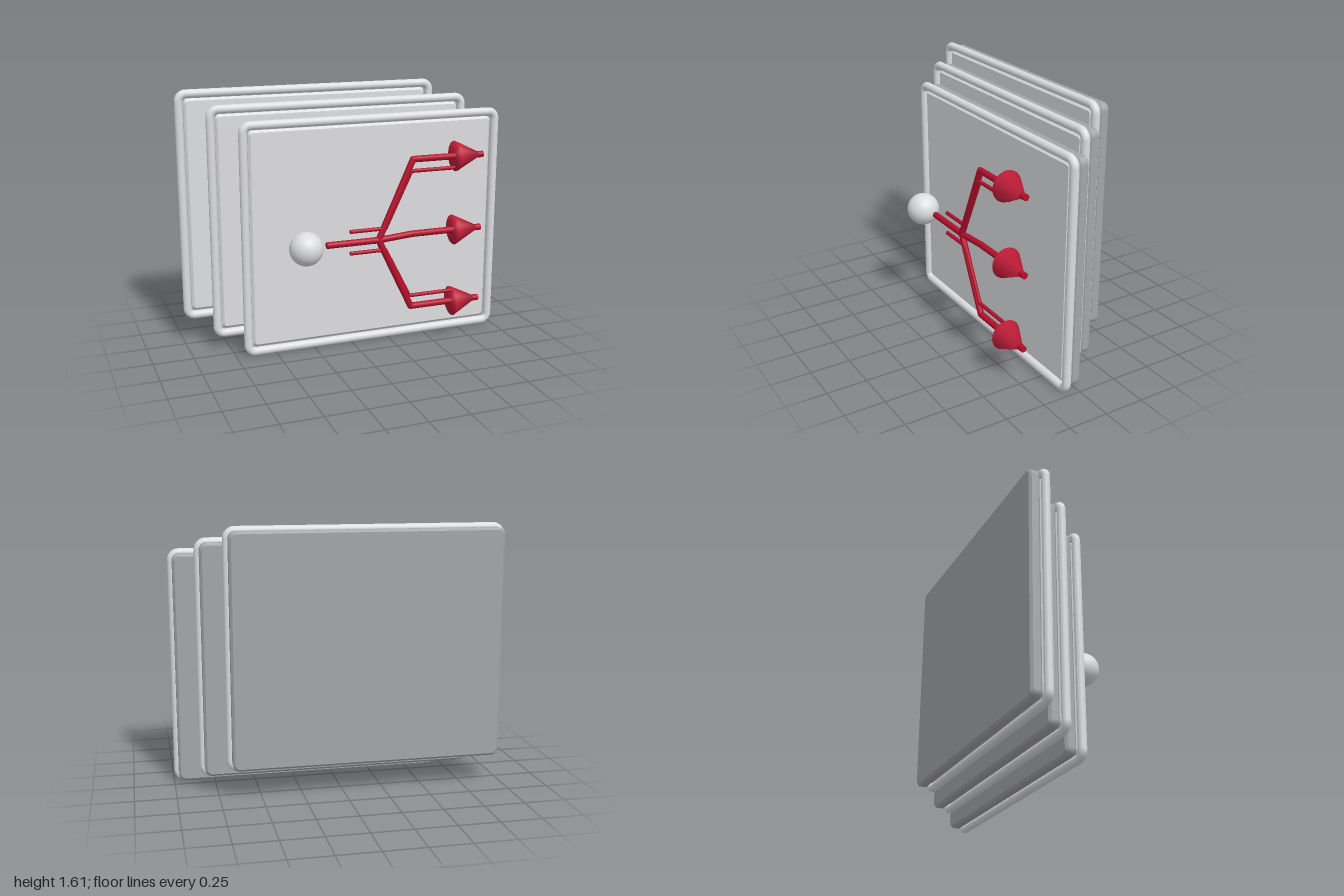
import * as THREE from 'three';
import { mergeVertices } from 'three/addons/utils/BufferGeometryUtils.js';

const mat = (name, color) => {
  const m = new THREE.MeshStandardMaterial({ color });
  m.name = name;
  return m;
};

// Rounded rectangle centred on the origin
function roundedRect(hw, hh, r) {
  const s = new THREE.Shape();
  s.moveTo(-hw + r, -hh);
  s.lineTo(hw - r, -hh);
  s.absarc(hw - r, -hh + r, r, -Math.PI / 2, 0);
  s.absarc(hw - r, hh - r, r, 0, Math.PI / 2);
  s.absarc(-hw + r, hh - r, r, Math.PI / 2, Math.PI);
  s.absarc(-hw + r, -hh + r, r, Math.PI, Math.PI * 1.5);
  return s;
}

// Rounded plate with chamfered edges, from z = z0 to z = z1
function chamferedPlate(hw, hh, r, z0, z1, b) {
  return new THREE.ExtrudeGeometry(roundedRect(hw - b, hh - b, r), {
    depth: z1 - z0 - 2 * b, bevelThickness: b, bevelSize: b, bevelSegments: 1, curveSegments: 6,
  }).translate(0, 0, z0 + b);
}

// Cone whose normals run smoothly over the rim
function smoothCone(radius, height) {
  const cone = new THREE.ConeGeometry(radius, height, 32);
  cone.deleteAttribute('normal');
  cone.deleteAttribute('uv');
  const merged = mergeVertices(cone);
  merged.computeVertexNormals();
  return merged;
}

export function createModel() {
  const model = new THREE.Group();
  const lightGrey = mat('light grey', 0xdcdddf);
  const midGrey = mat('mid grey', 0xa4a5a9);
  const red = mat('red', 0xc41e3a);
  const deepRed = mat('deep red', 0xb5102c);

  const add = (parent, name, geometry, material, x = 0, y = 0, z = 0) => {
    const mesh = new THREE.Mesh(geometry, material);
    mesh.name = name;
    mesh.position.set(x, y, z);
    parent.add(mesh);
    return mesh;
  };

  // Straight rod between two points
  const rod = (parent, name, a, b, r, material, sides) => {
    const dir = b.clone().sub(a);
    const mesh = add(parent, name, new THREE.CylinderGeometry(r, r, dir.length(), sides), material);
    mesh.position.copy(a).add(b).multiplyScalar(0.5);
    mesh.quaternion.setFromUnitVectors(new THREE.Vector3(0, 1, 0), dir.normalize());
  };

  // Bent rod through points in the z = 0 plane, with ball joints at the bends
  const bentRod = (parent, name, points, r) => {
    const pts = points.map(([x, y]) => new THREE.Vector3(x, y, 0));
    for (let i = 1; i < pts.length; i++) {
      rod(parent, name, pts[i - 1], pts[i], r, deepRed, 10);
      if (i < pts.length - 1) {
        add(parent, name + 'Joint', new THREE.SphereGeometry(r, 10, 8), deepRed, pts[i].x, pts[i].y, 0);
      }
    }
  };

  // Three stacked panels: chamfered backing slab, light face plate and round frame
  const HW = 0.824, HH = 0.704, R = 0.026, C = 0.045;
  for (let i = 0; i < 3; i++) {
    const panel = new THREE.Group();
    panel.name = 'panel' + (i + 1);
    panel.position.set(0.15 - 0.15 * i, 0.73 + 0.077 * i, -0.179 * i);
    model.add(panel);

    add(panel, 'slab', chamferedPlate(HW, HH, 0.03, -0.022, 0.048, 0.014), midGrey);
    add(panel, 'facePlate', chamferedPlate(HW - 0.03, HH - 0.03, 0.015, 0.054, 0.086, 0.014), lightGrey);

    const frame = new THREE.Group();
    frame.name = 'frame';
    frame.position.z = 0.079;
    panel.add(frame);
    for (const s of [-1, 1]) {
      rod(frame, 'sideRail', new THREE.Vector3(s * HW, -HH + C, 0),
        new THREE.Vector3(s * HW, HH - C, 0), R, lightGrey, 20);
      rod(frame, 'crossRail', new THREE.Vector3(-HW + C, s * HH, 0),
        new THREE.Vector3(HW - C, s * HH, 0), R, lightGrey, 20);
    }
    [[1, 1], [-1, 1], [-1, -1], [1, -1]].forEach(([sx, sy], k) => {
      const corner = add(frame, 'frameCorner', new THREE.TorusGeometry(C, R, 20, 8, Math.PI / 2),
        lightGrey, sx * (HW - C), sy * (HH - C), 0);
      corner.rotation.z = k * Math.PI / 2;
    });
  }

  // Ball at the start of the branching arrows
  add(model, 'ball', new THREE.SphereGeometry(0.102, 32, 24), lightGrey, -0.358, 0.714, 0.278);

  // Branching arrows
  const arrows = new THREE.Group();
  arrows.name = 'branchingArrows';
  arrows.position.z = 0.26;
  model.add(arrows);
  for (const y of [1.202, 0.734, 0.263]) {
    bentRod(arrows, 'branch', [[-0.225, 0.716], [0.11, 0.716], [0.33, y], [0.8, y]], 0.02);
    const head = add(arrows, 'arrowHead', smoothCone(0.094, 0.19), red, 0.705, y, 0);
    head.rotation.z = -Math.PI / 2;
  }

  // Thin rods running beside the outer branches
  bentRod(arrows, 'upperThinRod', [[-0.075, 0.786], [0.155, 0.786], [0.32, 1.13], [0.64, 1.13]], 0.012);
  bentRod(arrows, 'lowerThinRod', [[-0.075, 0.65], [0.155, 0.65], [0.32, 0.333], [0.62, 0.333]], 0.012);

  return model;
}
